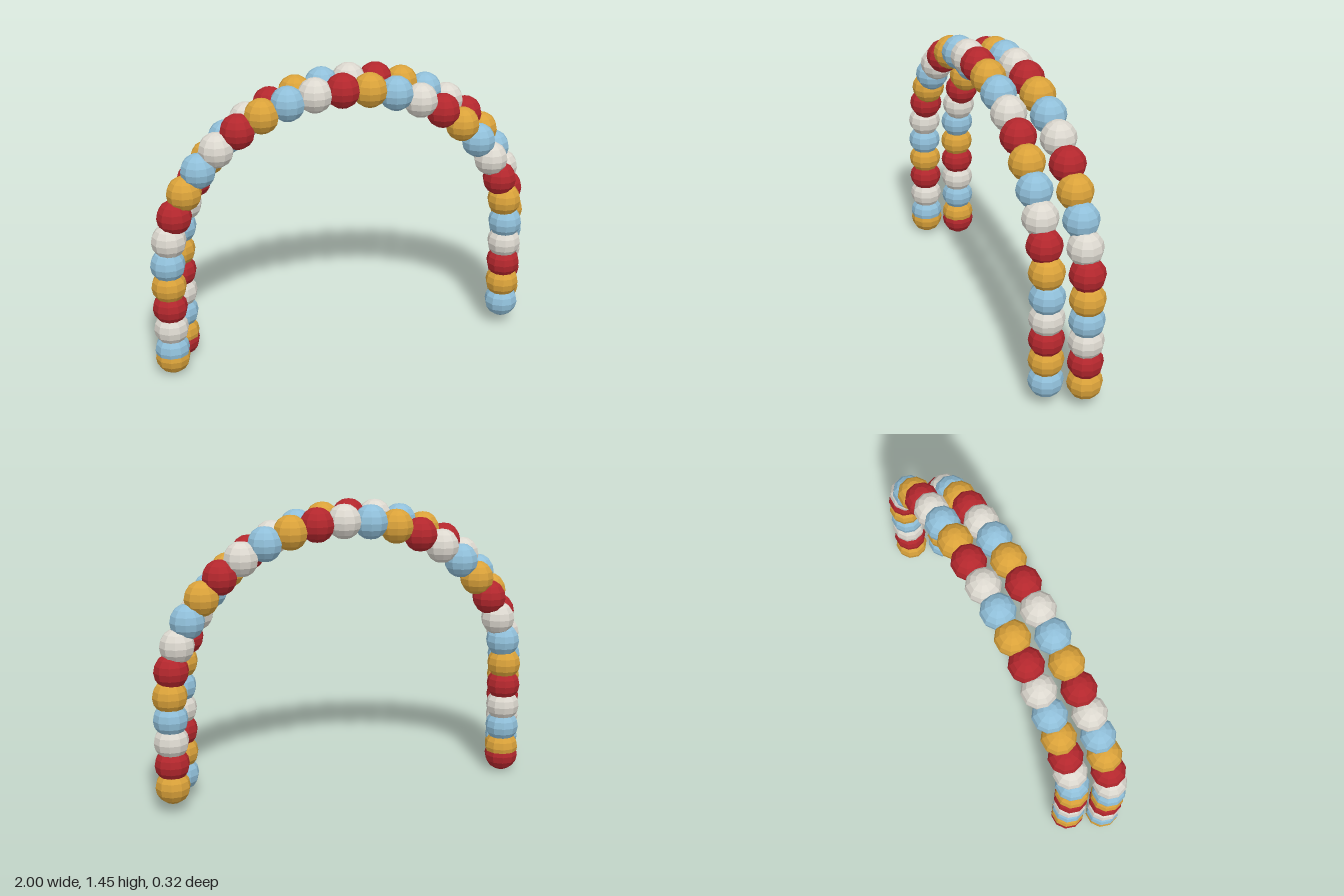
import * as THREE from 'three';

const RADIUS = 0.0855;
const COUNT = 30;      // balloons per arch
const LEG_STEPS = 5;   // balloons in a leg before the curve starts
const ARC_STEPS = 20;  // steps along the half ellipse

function material(name, color) {
  const m = new THREE.MeshStandardMaterial({ color, flatShading: true });
  m.name = name;
  return m;
}

// Centre of balloon i along a path: vertical leg, half ellipse, vertical leg
function pathPoint(i) {
  const halfWidth = 0.874, rise = 0.785, spring = 0.58, legStep = 0.1125;
  const k = i - LEG_STEPS;
  if (k < 0) return [-halfWidth, Math.max(0.087, spring + k * legStep)];
  if (k > ARC_STEPS) return [halfWidth, spring - (k - ARC_STEPS) * legStep];
  const a = (k / ARC_STEPS) * Math.PI;
  return [-halfWidth * Math.cos(a), spring + rise * Math.sin(a)];
}

export function createModel() {
  const model = new THREE.Group();
  model.name = 'balloonArch';

  const colors = [
    material('red', 0xb3272d),
    material('gold', 0xdaa23a),
    material('paleBlue', 0x90bfd9),
    material('offWhite', 0xdcd8cf),
  ];
  const balloon = new THREE.SphereGeometry(RADIUS, 10, 8);

  // One row of balloons with the colours cycling from a given start
  function arch(name, x, z, firstColor) {
    const row = new THREE.Group();
    row.name = name;
    row.position.set(x, 0, z);
    for (let i = 0; i < COUNT; i++) {
      const mesh = new THREE.Mesh(balloon, colors[(i + firstColor) % colors.length]);
      const [px, py] = pathPoint(i);
      mesh.position.set(px, py, 0);
      mesh.name = 'balloon';
      row.add(mesh);
    }
    model.add(row);
  }

  // Two rows, shifted sideways against each other
  arch('frontArch', -0.04, 0.081, 1);
  arch('backArch', 0.04, -0.081, 0);

  return model;
}
